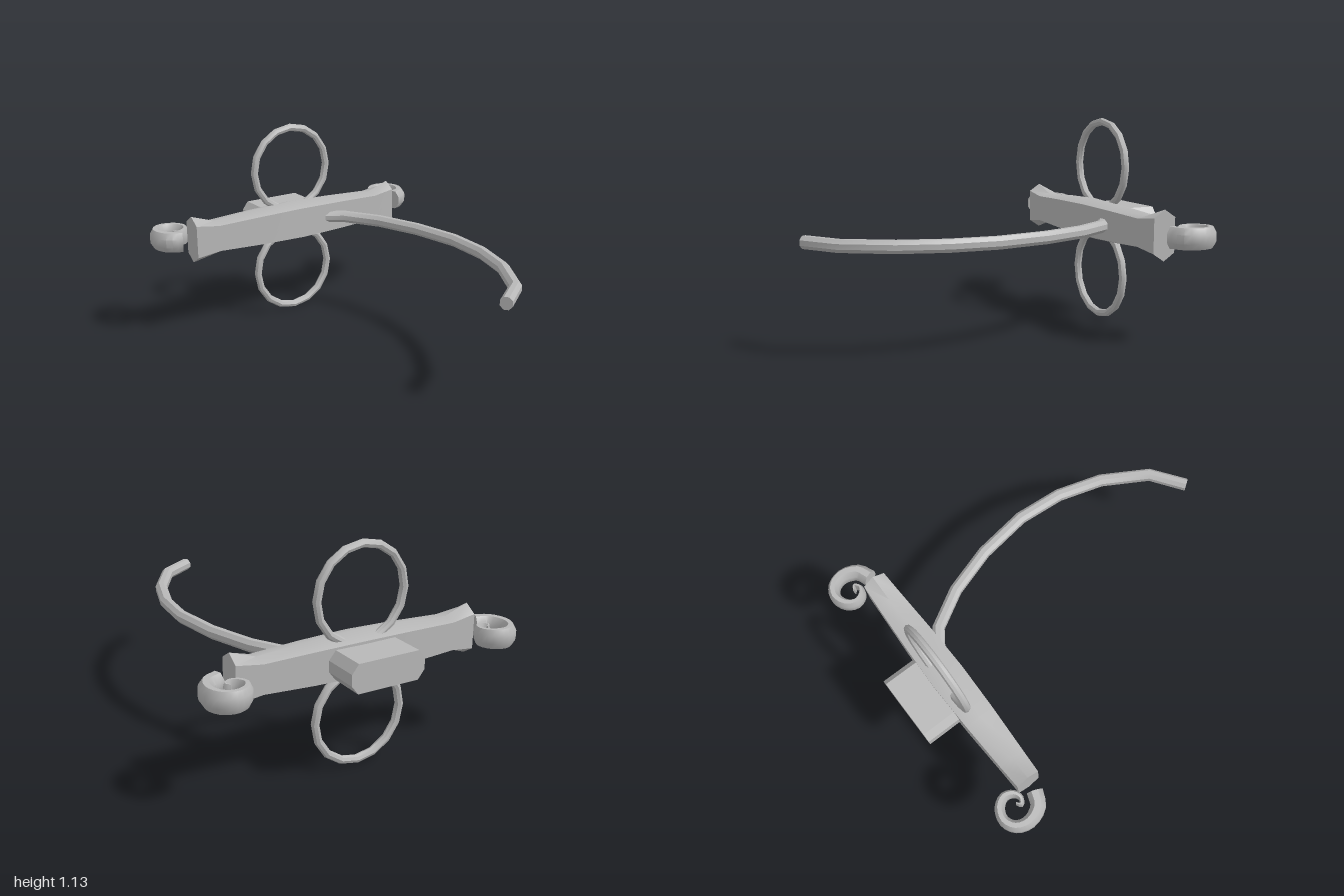
import * as THREE from 'three';
import { toCreasedNormals } from 'three/addons/utils/BufferGeometryUtils.js';

const CY = 0.568; // height of the shared horizontal axis
const CREASE = 0.65;

// Closed solid through a list of equal-sized rings, capped at both ends
function loft(rings) {
  const n = rings[0].length, pos = [];
  const faces = [];
  for (let i = 0; i < rings.length - 1; i++) {
    for (let j = 0; j < n; j++) {
      const k = (j + 1) % n;
      const a = rings[i][j], b = rings[i][k], c = rings[i + 1][k], d = rings[i + 1][j];
      faces.push([a, b, c], [a, c, d]);
    }
  }
  const first = rings[0], last = rings[rings.length - 1];
  for (let j = 1; j < n - 1; j++) {
    faces.push([first[0], first[j + 1], first[j]], [last[0], last[j], last[j + 1]]);
  }
  // Signed volume decides the winding, so mirrored lofts also face outward
  const cross = new THREE.Vector3();
  const volume = faces.reduce((s, [a, b, c]) => s + a.dot(cross.crossVectors(b, c)), 0);
  for (const [a, b, c] of faces) {
    for (const p of volume > 0 ? [a, b, c] : [a, c, b]) pos.push(p.x, p.y, p.z);
  }
  const g = new THREE.BufferGeometry();
  g.setAttribute('position', new THREE.Float32BufferAttribute(pos, 3));
  return toCreasedNormals(g, CREASE);
}

// Octagonal bar along a horizontal path of [x, z, halfWidth, halfHeight]
function sweep(path) {
  const k = 1 / Math.cos(Math.PI / 8);
  return loft(path.map(([x, z, w, h], i) => {
    const p = path[Math.max(i - 1, 0)], q = path[Math.min(i + 1, path.length - 1)];
    const dir = new THREE.Vector2(q[0] - p[0], q[1] - p[1]).normalize();
    return Array.from({ length: 8 }, (_, j) => {
      const a = (j + 0.5) * Math.PI / 4;
      const s = Math.cos(a) * w * k;
      return new THREE.Vector3(x - dir.y * s, CY + Math.sin(a) * h * k, z + dir.x * s);
    });
  }));
}

export function createModel() {
  const group = new THREE.Group();
  const metal = new THREE.MeshStandardMaterial({ color: 0xb8b8b8 });
  metal.name = 'grey metal';
  const add = (name, geometry) => {
    const mesh = new THREE.Mesh(geometry, metal);
    mesh.name = name;
    group.add(mesh);
    return mesh;
  };

  // Crossbar: hexagonal section, thickest in the middle, flared at the ends
  // [x, half height of ridge, half height of side, front z, back z]
  const half = [
    [0, 0.115, 0.087, -0.64, -0.818],
    [0.27, 0.104, 0.082, -0.646, -0.81],
    [0.53, 0.086, 0.073, -0.657, -0.797],
    [0.665, 0.132, 0.091, -0.664, -0.79],
  ];
  const stations = [...half.slice(1).reverse().map(([x, ...r]) => [-x, ...r]), ...half];
  add('crossbar', loft(stations.map(([x, ridge, side, f, b]) => {
    const m = (f + b) / 2;
    return [[f, side], [m, ridge], [b, side], [b, -side], [m, -ridge], [f, -side]]
      .map(([z, y]) => new THREE.Vector3(x, CY + y, z));
  })));

  // Upper and lower rings
  for (const [name, y] of [['upperRing', 0.87], ['lowerRing', 0.264]]) {
    const ring = add(name, toCreasedNormals(new THREE.TorusGeometry(0.241, 0.021, 8, 16), CREASE));
    ring.position.set(0, y, -0.765);
  }

  // Chamfered block behind the crossbar
  const outline = [[0.2, 0.028], [0.165, 0.073], [-0.165, 0.073], [-0.2, 0.028],
    [-0.2, -0.028], [-0.165, -0.073], [0.165, -0.073], [0.2, -0.028]];
  add('rearBlock', loft([-0.78, -1].map((z) =>
    outline.map(([x, y]) => new THREE.Vector3(x, CY + y, z)))));

  // Long curved arm reaching forward
  const arm = [[0.1, -0.72], [0.27, -0.605], [0.385, -0.41], [0.467, -0.16], [0.508, 0.12],
    [0.488, 0.37], [0.415, 0.61], [0.275, 0.845], [0.1, 0.967]];
  add('curvedArm', sweep(arm.map(([x, z]) => [x, z, 0.031, 0.032])));

  // Tapering scrolls beyond each end of the crossbar: [x, z, half width]
  const scroll = [[0.722, -0.73, 0.041], [0.79, -0.762, 0.038], [0.822, -0.84, 0.033],
    [0.8, -0.907, 0.029], [0.742, -0.937, 0.027], [0.678, -0.915, 0.025],
    [0.649, -0.865, 0.022], [0.668, -0.818, 0.018], [0.706, -0.803, 0.013],
    [0.732, -0.822, 0.01], [0.712, -0.838, 0.006]];
  const curve = new THREE.CatmullRomCurve3(scroll.map(([x, z, w]) => new THREE.Vector3(x, w, z)));
  const fine = curve.getPoints(30);
  for (const [name, s] of [['leftScroll', 1], ['rightScroll', -1]]) {
    add(name, sweep(fine.map((p, i) => [s * p.x, p.z, p.y, 0.055 - 0.02 * (i / 30) ** 2])));
  }

  return group;
}
